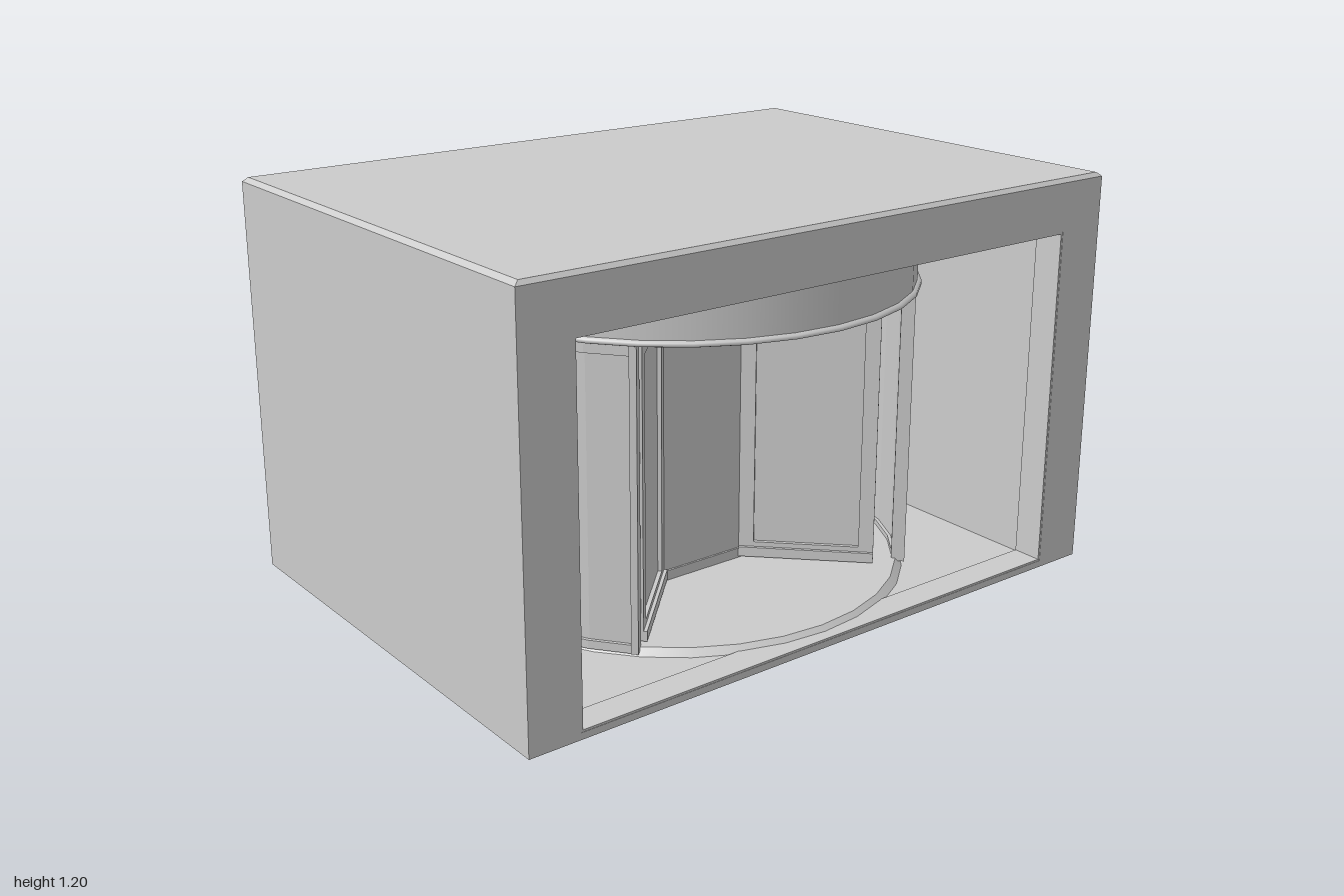
import * as THREE from 'three';

const mat = new THREE.MeshStandardMaterial({ color: 0xcccccc });
const flat = new THREE.MeshStandardMaterial({ color: 0xcccccc, flatShading: true });

function add(parent, name, geo, x = 0, y = 0, z = 0, material = mat) {
  const mesh = new THREE.Mesh(geo, material);
  mesh.name = name;
  mesh.position.set(x, y, z);
  parent.add(mesh);
  return mesh;
}

const box = (w, h, d) => new THREE.BoxGeometry(w, h, d);

// Rectangle from corner to corner, as a Shape or a hole
function rect(Kind, x0, y0, x1, y1) {
  const s = new Kind();
  s.moveTo(x0, y0);
  s.lineTo(x1, y0);
  s.lineTo(x1, y1);
  s.lineTo(x0, y1);
  s.closePath();
  return s;
}

// Upright rectangular frame, centred in depth
function frame(x0, y0, x1, y1, border, depth) {
  const s = rect(THREE.Shape, x0, y0, x1, y1);
  s.holes.push(rect(THREE.Path, x0 + border, y0 + border, x1 - border, y1 - border));
  return new THREE.ExtrudeGeometry(s, { depth, bevelEnabled: false }).translate(0, 0, -depth / 2);
}

// Curved wall section centred on +x: a closed band swept through an arc
function arcWall(inner, outer, y0, y1, half, segments) {
  const s = new THREE.Shape();
  s.absarc(0, 0, outer, -half, half, false);
  s.absarc(0, 0, inner, half, -half, true);
  s.closePath();
  const geo = new THREE.ExtrudeGeometry(s, { depth: y1 - y0, bevelEnabled: false, curveSegments: segments });
  return geo.rotateX(-Math.PI / 2).translate(0, y0, 0);
}

// Outer block with a passage through it
function building() {
  const g = new THREE.Group();
  g.name = 'building';
  const s = rect(THREE.Shape, -1, 0, 1, 1.188);
  s.holes.push(rect(THREE.Path, -0.845, 0.02, 0.845, 1.045));
  add(g, 'shell', new THREE.ExtrudeGeometry(s, { depth: 1.44, bevelEnabled: false }), 0, 0, -0.72);

  // Bevelled roof edge
  const roof = new THREE.CylinderGeometry(0.985 * Math.SQRT2, Math.SQRT2, 0.012, 4).rotateY(Math.PI / 4);
  roof.scale(1, 1, 0.72);
  add(g, 'roof', roof, 0, 1.194, 0, flat);

  for (const side of [-1, 1]) {
    add(g, 'portalTrim', frame(-0.845, 0.02, 0.845, 1.045, 0.006, 0.09), 0, 0, side * 0.674);
    // Partition between passage wall and drum
    const screen = new THREE.Group();
    screen.name = 'sideScreen';
    screen.scale.x = 1;
    add(screen, 'screenFrame', frame(-0.0775, 0.02, 0.0775, 1.045, 0.03, 0.05));
    add(screen, 'screenPanel', box(0.13, 0.99, 0.03), 0, 0.53, 0);
    screen.position.x = side * 0.7675;
    g.add(screen);
  }
  return g;
}

// Fixed round enclosure: floor, curved walls, canopy
function drum() {
  const g = new THREE.Group();
  g.name = 'drum';
  add(g, 'drumFloor', new THREE.CylinderGeometry(0.67, 0.69, 0.02, 32), 0, 0.03, 0);
  add(g, 'canopy', new THREE.CylinderGeometry(0.7, 0.7, 0.145, 32), 0, 0.972, 0);
  const rim = [[0.66, 0.898], [0.7, 0.898], [0.712, 0.902], [0.712, 0.912], [0.7, 0.916]];
  add(g, 'canopyRim', new THREE.LatheGeometry(rim.map(p => new THREE.Vector2(...p)), 32));

  const half = 0.76;
  for (const turn of [0, Math.PI]) {
    const wall = new THREE.Group();
    wall.name = 'curvedWall';
    wall.rotation.y = turn;
    add(wall, 'wallPanel', arcWall(0.67, 0.685, 0.04, 0.9, half, 4), 0, 0, 0, flat);
    add(wall, 'bottomRail', arcWall(0.66, 0.695, 0.03, 0.055, half, 4), 0, 0, 0, flat);
    add(wall, 'topRail', arcWall(0.66, 0.695, 0.87, 0.9, half, 4), 0, 0, 0, flat);
    for (const a of [-half, half]) {
      const post = add(wall, 'endPost', box(0.04, 0.87, 0.02), 0.678 * Math.cos(a), 0.465, 0.678 * Math.sin(a));
      post.rotation.y = -a;
    }
    g.add(wall);
  }
  return g;
}

// Turning part: square core with four framed wings on its corners
function rotor() {
  const g = new THREE.Group();
  g.name = 'rotor';
  g.position.x = -0.03;
  const core = 0.17;
  add(g, 'core', box(2 * core, 0.855, 2 * core), 0, 0.4725, 0);
  for (let i = 0; i < 4; i++) {
    const face = new THREE.Group();
    face.name = 'coreFace';
    face.rotation.y = i * Math.PI / 2;
    add(face, 'coreTopTrim', box(2 * core, 0.03, 0.012), 0, 0.88, core);
    add(face, 'coreBaseTrim', box(2 * core, 0.03, 0.012), 0, 0.055, core);
    g.add(face);

    const wing = new THREE.Group();
    wing.name = 'doorWing';
    wing.rotation.y = Math.PI / 4 + i * Math.PI / 2;
    const start = core * Math.SQRT2 - 0.02, end = 0.625;
    const mid = (start + end) / 2;
    add(wing, 'wingFrame', frame(start, 0.045, end, 0.893, 0.045, 0.04));
    add(wing, 'wingPanel', box(end - start - 0.07, 0.79, 0.016), mid, 0.469, 0);
    add(wing, 'wingKickRail', box(end - start, 0.03, 0.06), mid, 0.06, 0);
    g.add(wing);
  }
  return g;
}

export function createModel() {
  const model = new THREE.Group();
  model.name = 'revolvingDoor';
  model.add(building(), drum(), rotor());
  return model;
}
